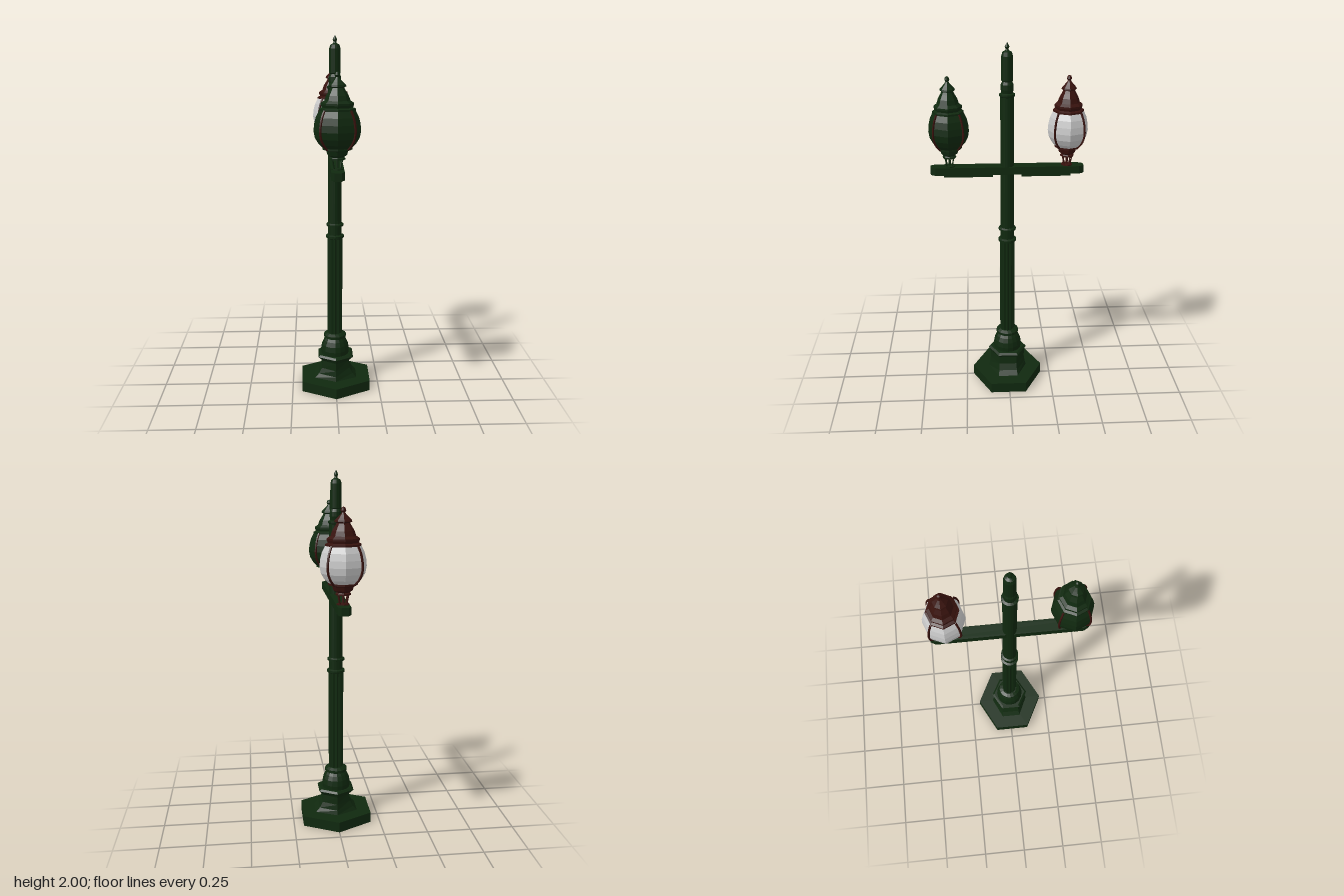
import * as THREE from 'three';

const paint = (color) => new THREE.MeshStandardMaterial({ color, flatShading: true, side: THREE.DoubleSide });

export function createModel() {
  const model = new THREE.Group();
  const green = paint(0x10290f), red = paint(0x38120d), glass = paint(0xcccccc);

  const add = (parent, name, geometry, material) => {
    const mesh = new THREE.Mesh(geometry, material);
    mesh.name = name;
    parent.add(mesh);
    return mesh;
  };
  // Turned part from [radius, height] pairs
  const turned = (points, sides) =>
    new THREE.LatheGeometry(points.map(([r, y]) => new THREE.Vector2(r, y)), sides);

  // Hexagonal plinth, points facing front and back
  const plinth = add(model, 'plinth', new THREE.CylinderGeometry(0.203, 0.203, 0.06, 6), green);
  plinth.scale.x = 1.11;
  plinth.position.set(0, 0.03, 0.006);

  // Hexagonal flared pedestal: half widths per row, [y, x, z]
  const rows = [[0.2, 0.088, 0.1], [0.19, 0.1, 0.112], [0.178, 0.088, 0.105], [0.165, 0.074, 0.1],
    [0.12, 0.08, 0.1], [0.085, 0.098, 0.105], [0.06, 0.12, 0.112]];
  const flare = new THREE.CylinderGeometry(1, 1, 1, 6, rows.length - 1);
  const p = flare.attributes.position;
  for (let i = 0; i < p.count; i++) {
    const [y, x, z] = rows[Math.round((0.5 - p.getY(i)) * (rows.length - 1))];
    p.setXYZ(i, p.getX(i) * x / Math.cos(Math.PI / 6), y, p.getZ(i) * z);
  }
  flare.computeVertexNormals();
  add(model, 'pedestal', flare, green).position.z = 0.005;

  // Everything on the pole axis
  const pole = new THREE.Group();
  pole.name = 'pole';
  pole.position.set(-0.003, 0, 0.005);
  model.add(pole);

  add(pole, 'poleFoot', turned([[0, 0.19], [0.08, 0.2], [0.081, 0.225], [0.076, 0.255], [0.065, 0.28],
    [0.055, 0.295], [0.064, 0.3], [0.064, 0.315], [0.045, 0.325], [0, 0.325]], 16), green);

  // Fluted lower shaft: alternate corners pulled inward
  const fluted = new THREE.CylinderGeometry(1, 1, 0.58, 24);
  const f = fluted.attributes.position;
  for (let i = 0; i < f.count; i++) {
    const step = Math.round(Math.atan2(f.getX(i), f.getZ(i)) / (Math.PI / 12));
    const r = Math.abs(step) % 2 ? 0.035 : 0.042;
    f.setX(i, f.getX(i) * r);
    f.setZ(i, f.getZ(i) * r);
  }
  fluted.computeVertexNormals();
  add(pole, 'flutedShaft', fluted, green).position.y = 0.61;

  // Collars, plain upper shaft and top cap
  add(pole, 'upperShaft', turned([[0.042, 0.895], [0.05, 0.9], [0.05, 0.912], [0.038, 0.917], [0.038, 0.965],
    [0.048, 0.968], [0.048, 0.978], [0.038, 0.984], [0.036, 1.72], [0.042, 1.725], [0.042, 1.735],
    [0.03, 1.74], [0.034, 1.76], [0.033, 1.785], [0.026, 1.8], [0.031, 1.805], [0.03, 1.93],
    [0.024, 1.95], [0.01, 1.957], [0.007, 1.965], [0.012, 1.975], [0.007, 1.987], [0, 2]], 16), green);

  // Cross arm with chamfered ends
  const arm = new THREE.Shape();
  const outline = [[-0.034, -0.385], [-0.018, -0.412], [0.018, -0.412], [0.034, -0.385],
    [0.034, 0.385], [0.018, 0.412], [-0.018, 0.412], [-0.034, 0.385]];
  arm.setFromPoints(outline.map(([x, z]) => new THREE.Vector2(x, z)));
  const armMesh = add(model, 'crossArm',
    new THREE.ExtrudeGeometry(arm, { depth: 0.042, bevelEnabled: false }), green);
  armMesh.rotation.x = -Math.PI / 2;
  armMesh.position.set(0, 1.303, 0.005);
  for (const s of [-1, 1])
    add(model, 'armUnderPanel', new THREE.BoxGeometry(0.045, 0.016, 0.265), green)
      .position.set(0, 1.296, s * 0.21 + 0.005);

  // Octagonal lanterns
  const globeProfile = [[0.062, 1.45], [0.085, 1.475], [0.101, 1.505], [0.107, 1.54],
    [0.104, 1.575], [0.096, 1.61], [0.08, 1.645]];

  function lantern(name, z, metal, globeMaterial) {
    const g = new THREE.Group();
    g.name = name;
    g.position.set(-0.001, 0, z);
    g.scale.x = 1.11;
    model.add(g);

    add(g, 'globe', turned(globeProfile, 8), globeMaterial);
    add(g, 'roof', turned([[0, 1.638], [0.082, 1.638], [0.082, 1.65], [0.07, 1.656], [0.074, 1.668],
      [0.074, 1.678], [0.058, 1.69], [0.05, 1.715], [0.036, 1.74], [0.03, 1.752], [0.04, 1.758],
      [0.038, 1.766], [0.025, 1.78], [0.012, 1.795], [0.008, 1.803], [0.013, 1.812],
      [0.009, 1.826], [0, 1.83]], 8), metal);
    add(g, 'globeCup', turned([[0, 1.395], [0.036, 1.395], [0.036, 1.403], [0.03, 1.408],
      [0.044, 1.418], [0.05, 1.44], [0.068, 1.446], [0.068, 1.456], [0, 1.456]], 8), metal);
    add(g, 'footPlate', turned([[0, 1.343], [0.03, 1.343], [0.03, 1.35], [0, 1.352]], 8), metal);

    for (let i = 0; i < 4; i++) {
      const a = Math.PI / 4 + i * Math.PI / 2;
      const at = (r, y) => new THREE.Vector3(Math.sin(a) * r, y, Math.cos(a) * r);
      // Rib over the globe
      const path = new THREE.CatmullRomCurve3(globeProfile.map(([r, y]) => at(r + 0.003, y)));
      add(g, 'globeRib', new THREE.TubeGeometry(path, 12, 0.0055, 4), red);
      // Thin leg carrying the lantern
      const leg = new THREE.LineCurve3(at(0.02, 1.345), at(0.032, 1.4));
      add(g, 'lanternLeg', new THREE.TubeGeometry(leg, 1, 0.0035, 5), metal);
    }
    add(g, 'stem', new THREE.CylinderGeometry(0.006, 0.006, 0.06, 6), metal).position.y = 1.372;
  }
  lantern('frontLantern', 0.314, green, green);
  lantern('backLantern', -0.317, red, glass);

  return model;
}
